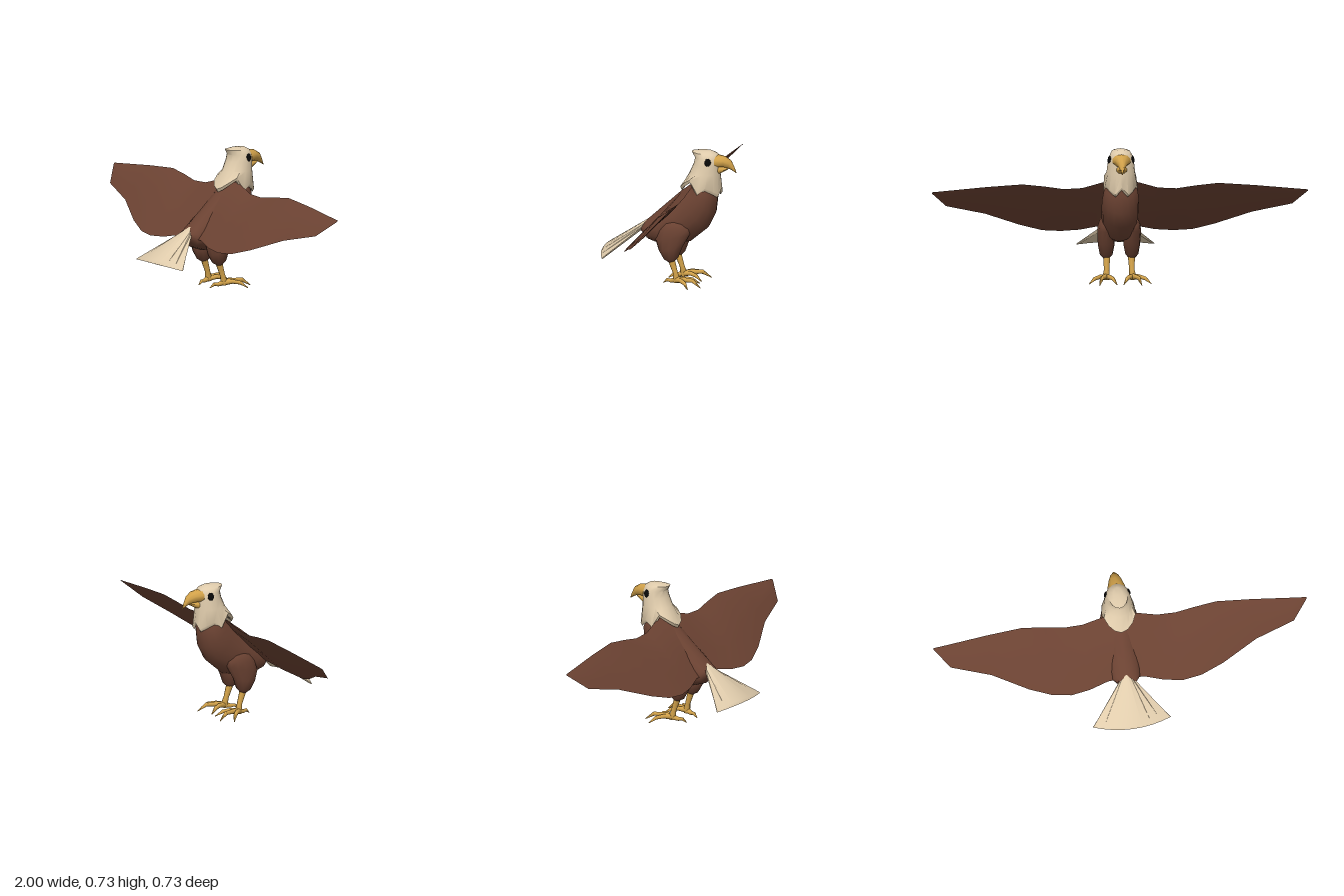
import * as THREE from 'three';
import { toCreasedNormals } from 'three/addons/utils/BufferGeometryUtils.js';

const V = (x, y, z) => new THREE.Vector3(x, y, z);

// Closed skin through equal-length rings, capped at both ends and turned outward.
function loft(rings, crease = 0.9) {
  const n = rings[0].length, pts = rings.flat(), idx = [];
  for (let i = 0; i < rings.length - 1; i++)
    for (let j = 0; j < n; j++) {
      const a = i * n + j, b = i * n + (j + 1) % n;
      idx.push(a, b, a + n, b, b + n, a + n);
    }
  const cap = (ring, start, flip) => {
    const c = V(0, 0, 0);
    ring.forEach(p => c.addScaledVector(p, 1 / n));
    const k = pts.push(c) - 1;
    for (let j = 0; j < n; j++) {
      const a = start + j, b = start + (j + 1) % n;
      idx.push(k, flip ? b : a, flip ? a : b);
    }
  };
  cap(rings[0], 0, true);
  cap(rings[rings.length - 1], (rings.length - 1) * n, false);
  let volume = 0;
  for (let i = 0; i < idx.length; i += 3)
    volume += pts[idx[i]].dot(V(0, 0, 0).crossVectors(pts[idx[i + 1]], pts[idx[i + 2]]));
  if (volume < 0) idx.reverse();
  const g = new THREE.BufferGeometry().setFromPoints(pts);
  g.setIndex(idx);
  return toCreasedNormals(g, crease);
}

// Oval ring spanning two side-profile points [z, y], with half width w around x.
function oval([z0, y0], [z1, y1], w, x = 0, n = 16) {
  return Array.from({ length: n }, (_, j) => {
    const a = j / n * Math.PI * 2, k = Math.cos(a) / 2;
    return V(x + w * Math.sin(a), (y0 + y1) / 2 + (y0 - y1) * k, (z0 + z1) / 2 + (z0 - z1) * k);
  });
}

// Tapered round limb along a list of [x, y, z, radius].
function limb(path, s, n = 8) {
  const p = path.map(([x, y, z]) => V(x * s, y, z));
  return loft(p.map((c, i) => {
    const t = p[Math.min(i + 1, p.length - 1)].clone().sub(p[Math.max(i - 1, 0)]).normalize();
    const u = V(0, 0, 0).crossVectors(t, Math.abs(t.y) > 0.8 ? V(0, 0, 1) : V(0, 1, 0)).normalize();
    const v = V(0, 0, 0).crossVectors(t, u);
    return Array.from({ length: n }, (_, j) => {
      const a = j / n * Math.PI * 2, r = path[i][3];
      const q = c.clone().addScaledVector(u, r * Math.cos(a)).addScaledVector(v, r * Math.sin(a));
      q.y = Math.max(q.y, 0);
      return q;
    });
  }));
}

export function createModel() {
  const model = new THREE.Group();
  const material = (name, color) => Object.assign(new THREE.MeshStandardMaterial({ color }), { name });
  const brown = material('brown feathers', 0x6b4232);
  const cream = material('cream feathers', 0xe0ccac);
  const gold = material('golden horn', 0xd2a24a);
  const black = material('black eye', 0x080808);
  const add = (name, geometry, mat) => {
    const m = new THREE.Mesh(geometry, mat);
    m.name = name;
    model.add(m);
    return m;
  };

  // Body: back point, belly point, half width
  add('body', loft([
    [[0.13, 0.325], [0.16, 0.27], 0.05],
    [[0.12, 0.335], [0.115, 0.225], 0.072],
    [[0.06, 0.39], [0.045, 0.2], 0.088],
    [[0, 0.445], [-0.11, 0.225], 0.095],
    [[-0.06, 0.5], [-0.21, 0.31], 0.1],
    [[-0.1, 0.53], [-0.25, 0.39], 0.098],
    [[-0.13, 0.555], [-0.26, 0.48], 0.088],
    [[-0.13, 0.58], [-0.25, 0.53], 0.07],
  ].map(r => oval(...r))), brown);

  // Head with a zigzag hem of neck feathers
  const head = [
    [[-0.15, 0.73], [-0.235, 0.73], 0.025],
    [[-0.118, 0.724], [-0.262, 0.715], 0.05],
    [[-0.137, 0.695], [-0.27, 0.695], 0.063],
    [[-0.13, 0.66], [-0.273, 0.66], 0.07],
    [[-0.108, 0.61], [-0.274, 0.61], 0.076],
  ].map(r => oval(...r));
  const hemY = [0.505, 0.52, 0.545, 0.57, 0.5, 0.53, 0.51, 0.488, 0.525];
  const hem = (z0, z1, w, lift) => oval([z0, 0], [z1, 0], w).map((p, j) => {
    p.y = hemY[j > 8 ? 16 - j : j] + lift;
    return p;
  });
  head.push(hem(-0.055, -0.285, 0.092, 0.012), hem(-0.064, -0.274, 0.084, -0.004));
  const inner = oval([-0.1, 0.56], [-0.24, 0.56], 0.05);
  add('head', loft([...head, inner], 0.8), cream);

  // Hooked beak: top, bottom, half width
  add('upperBeak', loft([
    [[-0.25, 0.714], [-0.255, 0.642], 0.05],
    [[-0.3, 0.706], [-0.295, 0.645], 0.035],
    [[-0.334, 0.685], [-0.318, 0.641], 0.022],
    [[-0.352, 0.65], [-0.34, 0.63], 0.01],
    [[-0.365, 0.616], [-0.364, 0.616], 0.001],
  ].map(([a, b, w]) => oval(a, b, w, 0, 10))), gold);
  add('lowerBeak', loft([
    [[-0.25, 0.655], [-0.25, 0.605], 0.035],
    [[-0.28, 0.65], [-0.278, 0.611], 0.026],
    [[-0.318, 0.645], [-0.316, 0.633], 0.009],
  ].map(([a, b, w]) => oval(a, b, w, 0, 10))), gold);

  // Tail: ridged fan, a slice for each step across
  const slices = [];
  for (let i = -4; i <= 4; i++) {
    const u = i / 4, d = u * u, x = 0.21 * u;
    slices.push([
      V(0.025 * u, 0.335 - 0.02 * d, 0.12),
      V(x * 0.96, 0.18 - 0.022 * d, 0.355 - 0.04 * d),
      V(x, 0.165 - 0.015 * d, 0.365 - 0.045 * d),
      V(x * 0.95, 0.158 - 0.008 * d, 0.345 - 0.03 * d),
      V(0.025 * u, 0.285, 0.14),
    ]);
  }
  add('tail', loft(slices, 0.5), cream);

  // Wing sections: x, leading y, z, trailing y, z, thickness
  const wing = [
    [0.03, 0.557, -0.145, 0.275, 0.115, 0.018],
    [0.1, 0.545, -0.143, 0.275, 0.12, 0.018],
    [0.2, 0.515, -0.13, 0.253, 0.145, 0.017],
    [0.3, 0.51, -0.13, 0.245, 0.158, 0.016],
    [0.4, 0.526, -0.14, 0.252, 0.145, 0.015],
    [0.52, 0.54, -0.15, 0.287, 0.108, 0.014],
    [0.71, 0.526, -0.14, 0.36, 0.025, 0.011],
    [0.92, 0.505, -0.125, 0.41, -0.03, 0.006],
    [1, 0.497, -0.12, 0.49, -0.113, 0.001],
  ];
  // Toes: outer, middle, inner, hind
  const toes = [
    [[0.07, 0.025, -0.05, 0.016], [0.105, 0.032, -0.085, 0.012], [0.135, 0.026, -0.115, 0.01], [0.165, 0.001, -0.14, 0.002]],
    [[0.07, 0.028, -0.05, 0.017], [0.085, 0.033, -0.105, 0.013], [0.098, 0.034, -0.15, 0.011], [0.112, 0.001, -0.196, 0.002]],
    [[0.07, 0.025, -0.05, 0.016], [0.053, 0.032, -0.095, 0.012], [0.036, 0.026, -0.13, 0.01], [0.018, 0.001, -0.167, 0.002]],
    [[0.07, 0.025, -0.05, 0.016], [0.062, 0.017, -0.02, 0.011], [0.056, 0.019, 0.002, 0.009], [0.05, 0.001, 0.025, 0.002]],
  ];

  for (const s of [1, -1]) {
    const side = s > 0 ? 'left' : 'right';

    add(side + 'Wing', loft(wing.map(([x, ly, lz, ty, tz, t]) => {
      const at = (f, h) => V(s * x, ly + (ty - ly) * f + h * 0.7, lz + (tz - lz) * f + h * 0.7);
      return [at(0, 0), at(0.25, t), at(0.65, t * 0.7), at(1, 0), at(0.65, -t * 0.4), at(0.25, -t * 0.6)];
    }), 0.7), brown);

    const eye = add(side + 'Eye', new THREE.SphereGeometry(1, 16, 10), black);
    eye.scale.set(0.008, 0.021, 0.017);
    eye.position.set(s * 0.062, 0.68, -0.222);
    eye.rotation.set(0, s * 0.3, s * 0.15);

    // Feathered thigh: rear point, front point, half width
    add(side + 'Thigh', loft([
      [[-0.03, 0.352], [-0.085, 0.355], 0.018],
      [[0.015, 0.335], [-0.11, 0.34], 0.034],
      [[0.045, 0.295], [-0.128, 0.31], 0.046],
      [[0.064, 0.24], [-0.125, 0.28], 0.048],
      [[0.046, 0.182], [-0.083, 0.205], 0.044],
      [[0.018, 0.137], [-0.062, 0.148], 0.034],
      [[-0.008, 0.122], [-0.035, 0.121], 0.014],
    ].map(([a, b, w]) => oval(a, b, w, s * 0.068, 12))), brown);

    add(side + 'Shank', limb([
      [0.066, 0.16, -0.015, 0.021], [0.066, 0.12, -0.027, 0.018],
      [0.067, 0.065, -0.045, 0.014], [0.07, 0.035, -0.052, 0.018], [0.07, 0.012, -0.052, 0.016],
    ], s), gold);
    toes.forEach((t, i) => add(side + ['Outer', 'Middle', 'Inner', 'Hind'][i] + 'Toe', limb(t, s), gold));
  }
  return model;
}
